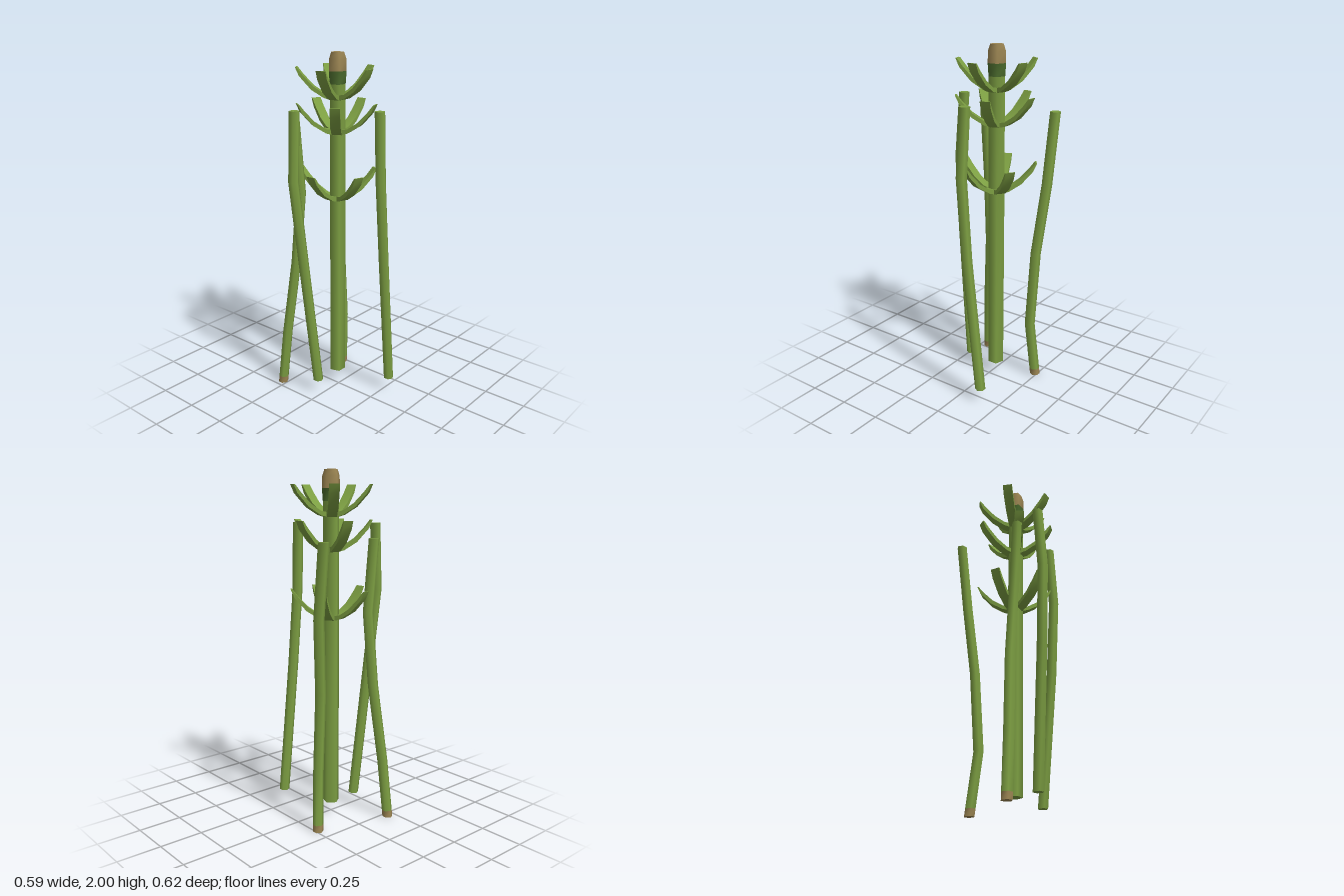
import * as THREE from 'three';
import { toCreasedNormals } from 'three/addons/utils/BufferGeometryUtils.js';

const material = (name, color) => new THREE.MeshStandardMaterial({ name, color });

// Capped column through horizontal rings, listed from bottom to top as [x, y, z, radius]
function loft(rings, sides, phase = 0) {
  const pos = [], index = [];
  for (const [x, y, z, r] of rings) {
    for (let i = 0; i < sides; i++) {
      const a = phase + (i / sides) * Math.PI * 2;
      pos.push(x + r * Math.cos(a), y, z + r * Math.sin(a));
    }
  }
  const last = (rings.length - 1) * sides;
  const bottom = rings.length * sides, top = bottom + 1;
  pos.push(...rings[0].slice(0, 3), ...rings[rings.length - 1].slice(0, 3));
  for (let i = 0; i < sides; i++) {
    const j = (i + 1) % sides;
    for (let k = 0; k < last; k += sides) {
      index.push(k + i, k + sides + i, k + j, k + j, k + sides + i, k + sides + j);
    }
    index.push(bottom, i, j, top, last + j, last + i);
  }
  const geometry = new THREE.BufferGeometry();
  geometry.setAttribute('position', new THREE.Float32BufferAttribute(pos, 3));
  geometry.setIndex(index);
  return toCreasedNormals(geometry, 1.3);
}

// Upward-curving leaf with a constant width, growing along +x
function leafGeometry() {
  const profile = [
    [0.01, 0], [0.07, 0.018], [0.14, 0.062], [0.205, 0.135], [0.226, 0.182],
    [0.218, 0.182], [0.185, 0.14], [0.13, 0.082], [0.07, 0.042], [0.01, 0.03],
  ];
  const shape = new THREE.Shape(profile.map(([x, y]) => new THREE.Vector2(x, y)));
  const width = 0.055;
  const geometry = new THREE.ExtrudeGeometry(shape, { depth: width, bevelEnabled: false });
  geometry.translate(0, 0, -width / 2);
  return toCreasedNormals(geometry, 0.8);
}

export function createModel() {
  const model = new THREE.Group();
  model.name = 'horsetailPlant';
  const green = material('stemGreen', 0x7c9e42);
  const darkGreen = material('collarGreen', 0x4c6c2e);
  const brown = material('budBrown', 0x9a8452);

  const add = (parent, name, geometry, mat) => {
    const mesh = new THREE.Mesh(geometry, mat);
    mesh.name = name;
    parent.add(mesh);
    return mesh;
  };

  // Main stalk: five-sided stem, collar and bud
  const stalk = new THREE.Group();
  stalk.name = 'mainStalk';
  stalk.position.set(0.027, 0, -0.034);
  model.add(stalk);
  const column = (name, rings, mat) =>
    add(stalk, name, loft(rings.map(([y, r]) => [0, y, 0, r]), 5, -Math.PI / 2), mat);
  column('stem', [[0.085, 0.048], [1.17, 0.048], [1.83, 0.046]], green);
  column('collar', [[1.83, 0.047], [1.9, 0.052]], darkGreen);
  column('bud', [[1.9, 0.052], [1.965, 0.05], [2, 0.038]], brown);

  // Three whorls of five leaves: [base height, first angle in degrees]
  const leaf = leafGeometry();
  [[1.168, 36], [1.548, 71], [1.738, 18]].forEach(([y, start], w) => {
    const whorl = new THREE.Group();
    whorl.name = `leafWhorl${w + 1}`;
    whorl.position.y = y;
    stalk.add(whorl);
    for (let i = 0; i < 5; i++) {
      const blade = add(whorl, 'leaf', leaf, green);
      blade.rotation.y = -THREE.MathUtils.degToRad(start + i * 72);
    }
  });

  // Bare bent shoots around the stalk; two of them end in a brown foot
  const shoots = [
    { path: [[-0.155, 0.085, -0.03], [-0.232, 0.87, -0.065], [-0.272, 1.33, -0.09], [-0.245, 1.71, -0.1]] },
    { path: [[0.138, 0.085, 0.28], [0.055, 0.87, 0.285], [0.02, 1.33, 0.28], [0.03, 1.71, 0.258]] },
    { path: [[-0.202, 0, -0.28], [-0.18, 0.35, -0.252], [-0.137, 0.8, -0.21], [-0.125, 1.22, -0.175], [-0.157, 1.63, -0.183]], foot: true },
    { path: [[0.235, 0, -0.163], [0.207, 0.35, -0.135], [0.217, 0.8, -0.168], [0.258, 1.22, -0.205], [0.268, 1.63, -0.258]], foot: true },
  ];
  for (const { path, foot } of shoots) {
    const rings = path.map((p) => [...p, 0.03]);
    if (foot) {
      const t = 0.04 / rings[1][1];
      const seam = rings[0].map((v, i) => v + (rings[1][i] - v) * t);
      add(model, 'shootFoot', loft([rings[0], seam], 6, Math.PI / 6), brown);
      rings[0] = seam;
    }
    add(model, 'shoot', loft(rings, 6, Math.PI / 6), green);
  }
  return model;
}
